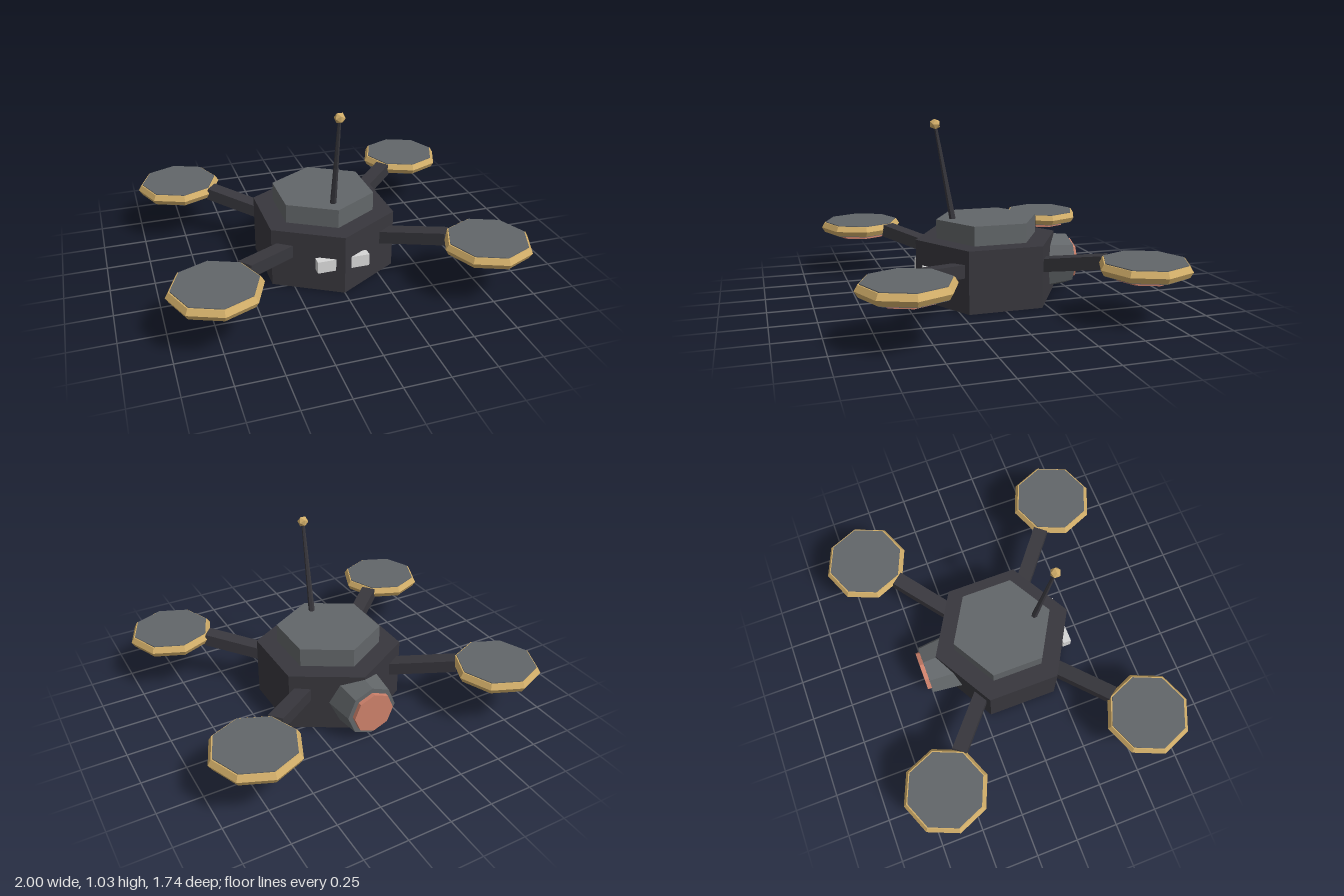
import * as THREE from 'three';

const mat = (name, color) => {
  const m = new THREE.MeshStandardMaterial({ color, flatShading: true });
  m.name = name;
  return m;
};

export function createModel() {
  const charcoal = mat('charcoal', 0x38373d);
  const slate = mat('slate grey', 0x626669);
  const gold = mat('gold', 0xd2ae69);
  const copper = mat('copper', 0xcc806a);
  const pale = mat('pale grey', 0xd6d6d6);

  const model = new THREE.Group();
  model.name = 'drone';
  const add = (parent, name, geometry, material, x = 0, y = 0, z = 0) => {
    const mesh = new THREE.Mesh(geometry, material);
    mesh.name = name;
    mesh.position.set(x, y, z);
    parent.add(mesh);
    return mesh;
  };
  // Turns a mesh so its local axis runs from a to b
  const span = (mesh, a, b) => {
    mesh.position.copy(a).lerp(b, 0.5);
    mesh.lookAt(b);
    return mesh;
  };

  // Hexagonal hull and raised lid
  add(model, 'body', new THREE.CylinderGeometry(0.42, 0.42, 0.35, 6), charcoal, 0, 0.175, 0);
  add(model, 'lid', new THREE.CylinderGeometry(0.3, 0.3, 0.12, 6), slate, 0, 0.4, 0);

  // Front sensor blocks
  for (const s of [1, -1]) {
    add(model, s > 0 ? 'leftEye' : 'rightEye', new THREE.BoxGeometry(0.105, 0.07, 0.05), pale, s * 0.0975, 0.175, 0.372);
  }

  // Tilted antenna with a faceted tip
  const tip = new THREE.Vector3(0, 1, 0.3);
  const root = new THREE.Vector3(0, 0.42, 0.197);
  const rod = new THREE.CylinderGeometry(0.009, 0.019, root.distanceTo(tip), 6).rotateX(Math.PI / 2);
  span(add(model, 'antenna', rod, charcoal), root, tip);
  add(model, 'antennaTip', new THREE.IcosahedronGeometry(0.032, 0), gold, 0, 1, 0.3);

  // Rear thruster, narrowing towards its glowing plate
  const nozzle = new THREE.CylinderGeometry(0.175, 0.15, 0.22, 8).rotateX(Math.PI / 2);
  add(model, 'thruster', nozzle, slate, 0, 0.175, -0.39);
  const plate = new THREE.CylinderGeometry(0.122, 0.122, 0.04, 8).rotateX(Math.PI / 2);
  add(model, 'thrusterPlate', plate, copper, 0, 0.175, -0.505);

  // Four arms, each carrying an octagonal lift pod
  const podDisc = new THREE.CylinderGeometry(0.225, 0.225, 0.07, 8);
  const podRing = new THREE.TorusGeometry(0.215, 0.035, 6, 8).rotateX(Math.PI / 2);
  const podBase = new THREE.CylinderGeometry(0.16, 0.16, 0.04, 8);
  for (const sx of [1, -1]) {
    for (const sz of [1, -1]) {
      const name = (sz > 0 ? 'front' : 'back') + (sx > 0 ? 'Left' : 'Right');
      const inner = new THREE.Vector3(sx * 0.19, 0.206, sz * 0.16);
      const outer = new THREE.Vector3(sx * 0.575, 0.296, sz * 0.48);
      const beam = new THREE.BoxGeometry(0.086, 0.073, inner.distanceTo(outer));
      span(add(model, name + 'Arm', beam, charcoal), inner, outer);

      const pod = new THREE.Group();
      pod.name = name + 'Pod';
      pod.position.set(sx * 0.75, 0.3, sz * 0.622);
      add(pod, 'podDisc', podDisc, slate);
      add(pod, 'podRing', podRing, gold);
      add(pod, 'podBase', podBase, copper, 0, -0.04, 0);
      model.add(pod);
    }
  }
  return model;
}
